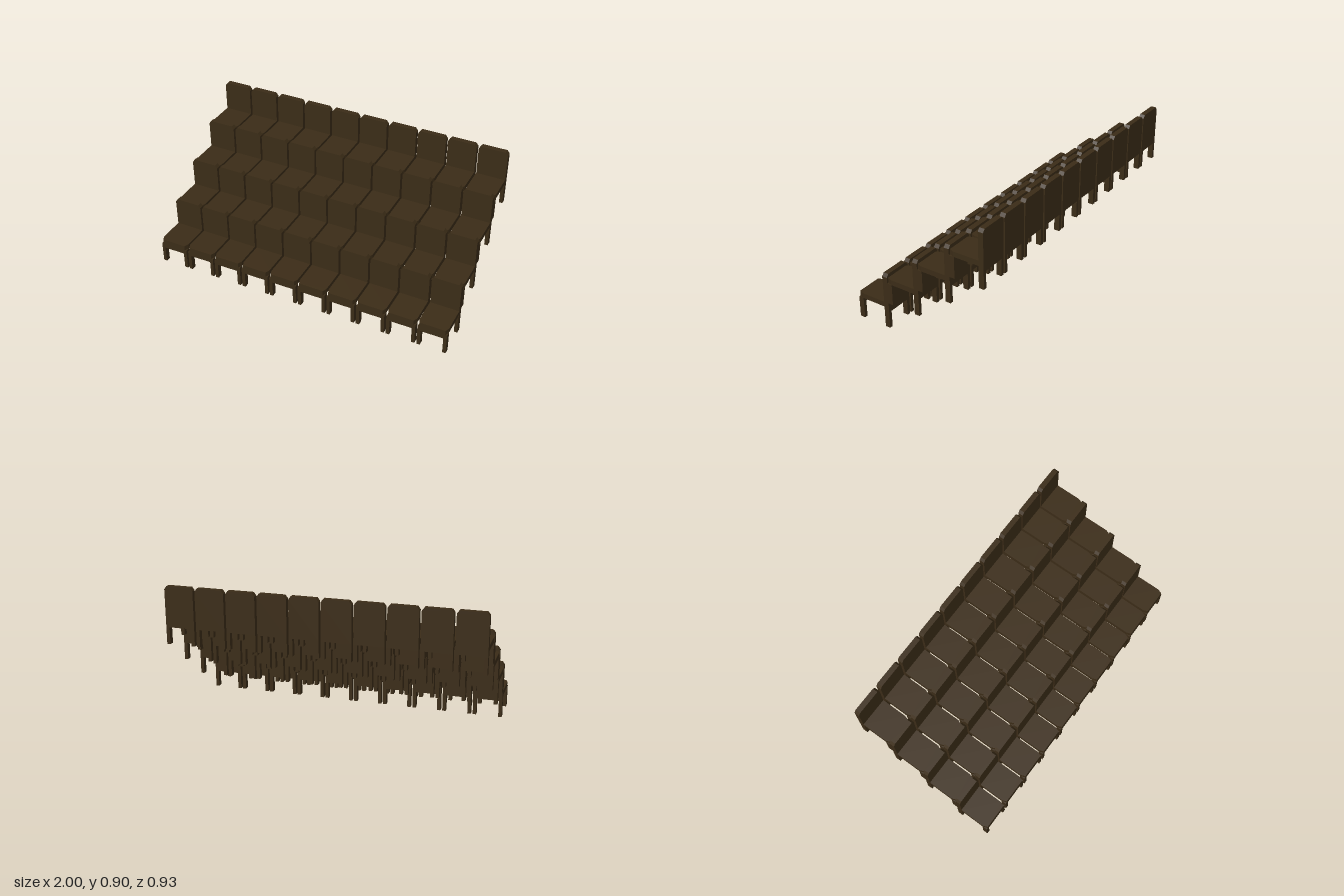
import * as THREE from 'three';

const COLUMNS = 10, ROWS = 4;
const W = 0.188, D = 0.2325, T = 0.034;      // chair width, depth, board thickness
const LEG_W = 0.022, RISE = 0.1745;          // leg width, height step per row
const PANEL_Y = 0.11, SEAT_Y = 0.14, SEAT_TOP = 0.174, TOP = 0.372;

// Extruded outline with two corners cut off at its upper end
function clippedBoard(width, y0, y1, cutX, cutY, depth) {
  const h = width / 2;
  const shape = new THREE.Shape([
    [-h, y0], [h, y0], [h, y1 - cutY], [h - cutX, y1], [-h + cutX, y1], [-h, y1 - cutY],
  ].map(([x, y]) => new THREE.Vector2(x, y)));
  return new THREE.ExtrudeGeometry(shape, { depth, bevelEnabled: false });
}

export function createModel() {
  const model = new THREE.Group();
  model.name = 'tieredSeating';
  const wood = new THREE.MeshStandardMaterial({ color: 0x3b2c17, flatShading: true });

  // Backrest: reaches below the seat, top corners clipped
  const backGeo = clippedBoard(W, PANEL_Y, TOP, 0.015, 0.02, T);
  backGeo.translate(0, 0, -D / 2);

  // Seat: front corners clipped, laid flat
  const seatGeo = clippedBoard(W, -D / 2 + T, D / 2, 0.012, 0.03, SEAT_TOP - SEAT_Y);
  seatGeo.rotateX(Math.PI / 2);
  seatGeo.translate(0, SEAT_TOP, 0);

  const apronGeo = new THREE.BoxGeometry(W - 2 * LEG_W, SEAT_Y - PANEL_Y, T);
  apronGeo.translate(0, (SEAT_Y + PANEL_Y) / 2, D / 2 - T / 2);
  const frontLegGeo = new THREE.BoxGeometry(LEG_W, SEAT_Y, T);
  frontLegGeo.translate(0, SEAT_Y / 2, D / 2 - T / 2);
  const backLegGeo = new THREE.BoxGeometry(LEG_W, PANEL_Y, T);
  backLegGeo.translate(0, PANEL_Y / 2, -D / 2 + T / 2);

  function createChair() {
    const chair = new THREE.Group();
    chair.name = 'chair';
    const add = (name, geometry, x = 0) => {
      const mesh = new THREE.Mesh(geometry, wood);
      mesh.name = name;
      mesh.position.x = x;
      chair.add(mesh);
    };
    add('backrest', backGeo);
    add('seat', seatGeo);
    add('frontApron', apronGeo);
    for (const side of [-1, 1]) {
      const x = side * (W - LEG_W) / 2;
      add('frontLeg', frontLegGeo, x);
      add('backLeg', backLegGeo, x);
    }
    return chair;
  }

  // Rows step up and back
  const pitch = (2 - W) / (COLUMNS - 1);
  for (let r = 0; r < ROWS; r++) {
    const row = new THREE.Group();
    row.name = 'row' + (r + 1);
    row.position.set(0, r * RISE, ((ROWS - 1) / 2 - r) * D);
    for (let c = 0; c < COLUMNS; c++) {
      const chair = createChair();
      chair.position.x = (c - (COLUMNS - 1) / 2) * pitch;
      row.add(chair);
    }
    model.add(row);
  }
  return model;
}
